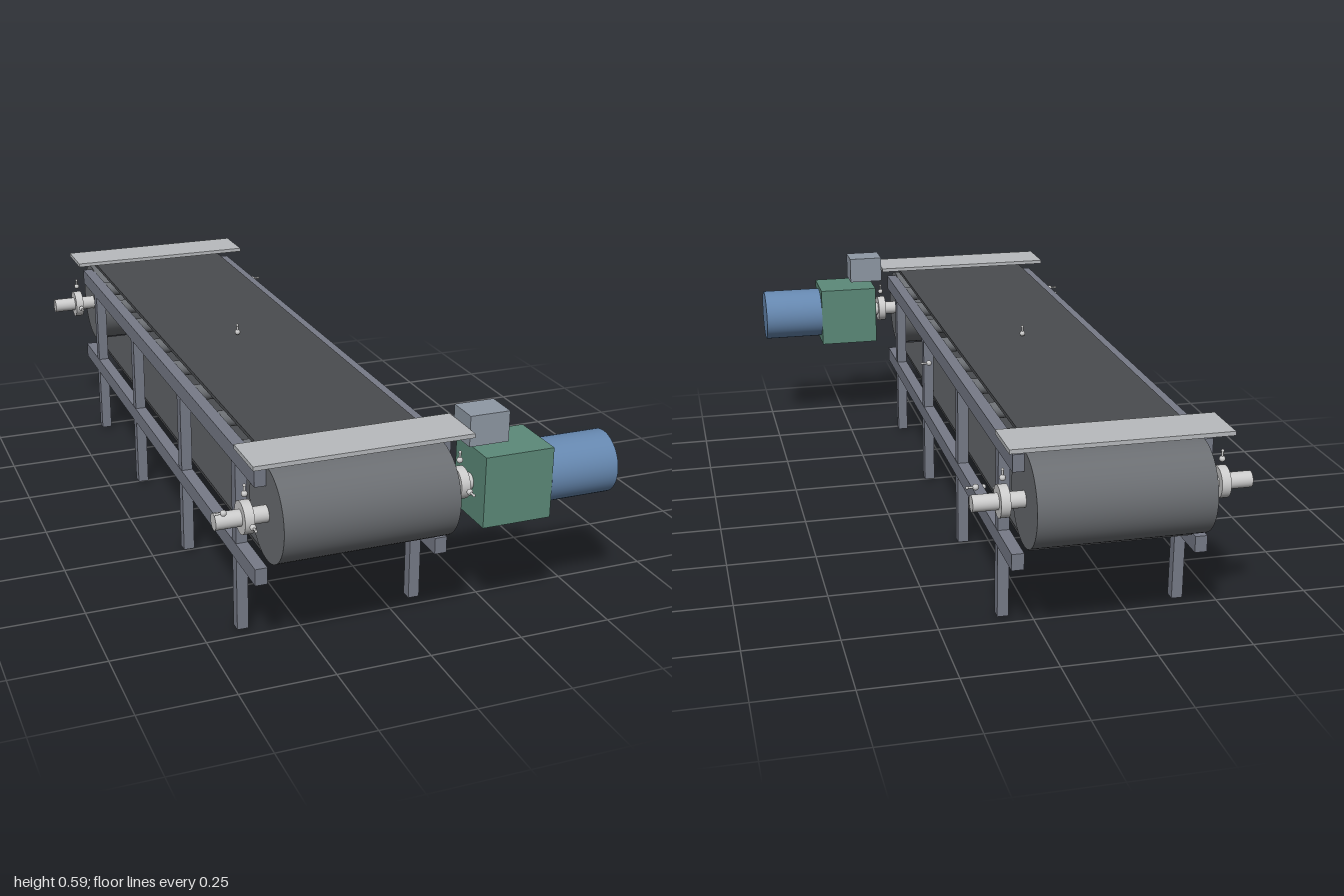
import * as THREE from 'three';

const mat = (color) => new THREE.MeshStandardMaterial({ color });
const M = {
  frame: mat(0x777b88), drum: mat(0x6b6e72), belt: mat(0x4a4c4f), steel: mat(0xcccccc),
  cover: mat(0xb8bbbe), box: mat(0x8f99a5), gear: mat(0x5c8a79), motor: mat(0x6688b0),
};

const CX = -0.16;     // belt centre line
const AXLE_Y = 0.396; // drum axle height
const END_Z = 0.877;  // drum axle distance from the middle

export function createModel() {
  const model = new THREE.Group();
  model.name = 'beltConveyor';

  const add = (name, geometry, material, x, y, z) => {
    const mesh = new THREE.Mesh(geometry, material);
    mesh.name = name;
    mesh.position.set(x, y, z);
    model.add(mesh);
    return mesh;
  };
  // Box given by its limits on each axis
  const box = (name, material, [x0, x1], [y0, y1], [z0, z1]) =>
    add(name, new THREE.BoxGeometry(x1 - x0, y1 - y0, z1 - z0), material,
      (x0 + x1) / 2, (y0 + y1) / 2, (z0 + z1) / 2);
  // Cylinder lying along x
  const rod = (name, material, r, x0, x1, y, z, sides = 48) =>
    add(name, new THREE.CylinderGeometry(r, r, x1 - x0, sides).rotateZ(-Math.PI / 2),
      material, (x0 + x1) / 2, y, z);

  // Side frames: upper rail, lower rail and four legs each
  for (const side of [-1, 1]) {
    const x = CX + side * 0.237;
    const railX = [x - 0.016, x + 0.016];
    box('upperRail', M.frame, railX, [0.466, 0.511], [-0.875, 0.875]);
    box('lowerRail', M.frame, railX, [0.207, 0.251], [-0.875, 0.875]);
    for (const z of [-0.715, -0.245, 0.245, 0.715])
      box('leg', M.frame, [x - 0.015, x + 0.015], [0.008, 0.466], [z - 0.015, z + 0.015]);
  }

  // Belt runs
  box('upperBelt', M.belt, [-0.371, 0.051], [0.521, 0.531], [-0.875, 0.875]);
  box('lowerBelt', M.belt, [-0.371, 0.051], [0.257, 0.266], [-0.875, 0.875]);

  // Carrying rollers under the upper belt
  for (let i = 0; i < 8; i++)
    rod('roller', M.drum, 0.022, -0.381, 0.061, 0.49, -0.7 + i * 0.2, 24);

  // Small fitting: ball, thin stem and tip pointing along dir
  const fitting = (x, y, z, dx, dy, dz) => {
    const g = new THREE.Group();
    g.name = 'fitting';
    const parts = [
      [new THREE.SphereGeometry(0.008, 16, 10), 0],
      [new THREE.CylinderGeometry(0.003, 0.003, 0.022, 10), 0.011],
      [new THREE.SphereGeometry(0.004, 12, 8), 0.021],
    ];
    for (const [geometry, h] of parts) {
      const mesh = new THREE.Mesh(geometry, M.steel);
      mesh.name = 'fittingPart';
      mesh.position.y = h;
      g.add(mesh);
    }
    g.position.set(x, y, z);
    g.quaternion.setFromUnitVectors(new THREE.Vector3(0, 1, 0), new THREE.Vector3(dx, dy, dz));
    model.add(g);
  };

  // End drums with shafts, bearings and cover plates
  for (const end of [-1, 1]) {
    const z = end * END_Z;
    rod('drum', M.drum, 0.122, -0.384, 0.064, AXLE_Y, z, 64);
    rod('shaft', M.steel, 0.021, -0.515, 0.195, AXLE_Y, z, 32);
    box('coverPlate', M.cover, [-0.44, 0.12], [0.542, 0.553], [z - 0.07, z + 0.07]);
    for (const side of [-1, 1]) {
      const x = CX + side * 0.278;
      rod('bearing', M.steel, 0.041, x - 0.012, x + 0.012, AXLE_Y, z);
      fitting(x, 0.456, z, 0, 1, 0);
      fitting(x, AXLE_Y, z + 0.06, 0, 0, 1);
    }
    fitting(CX - end * 0.338, 0.427, z + 0.025, -end, 0, 0);
  }

  // Loose fittings on the belt, the floor and the side
  fitting(CX, 0.54, 0, 0, 1, 0);
  fitting(CX, 0.008, 0, 0, 1, 0);
  fitting(-0.068, 0.02, 0.1, 1, 0, 0);
  fitting(0.096, 0.427, 0.127, 1, 0, 0);
  fitting(0.06, 0.287, 0.275, 0, 0, 1);

  // Drive: gearbox, motor and control box
  box('gearbox', M.gear, [0.148, 0.333], [0.302, 0.489], [0.797, 0.957]);
  rod('motor', M.motor, 0.081, 0.333, 0.52, AXLE_Y, END_Z);
  box('controlBox', M.box, [0.121, 0.227], [0.506, 0.586], [0.831, 0.918]);

  return model;
}
